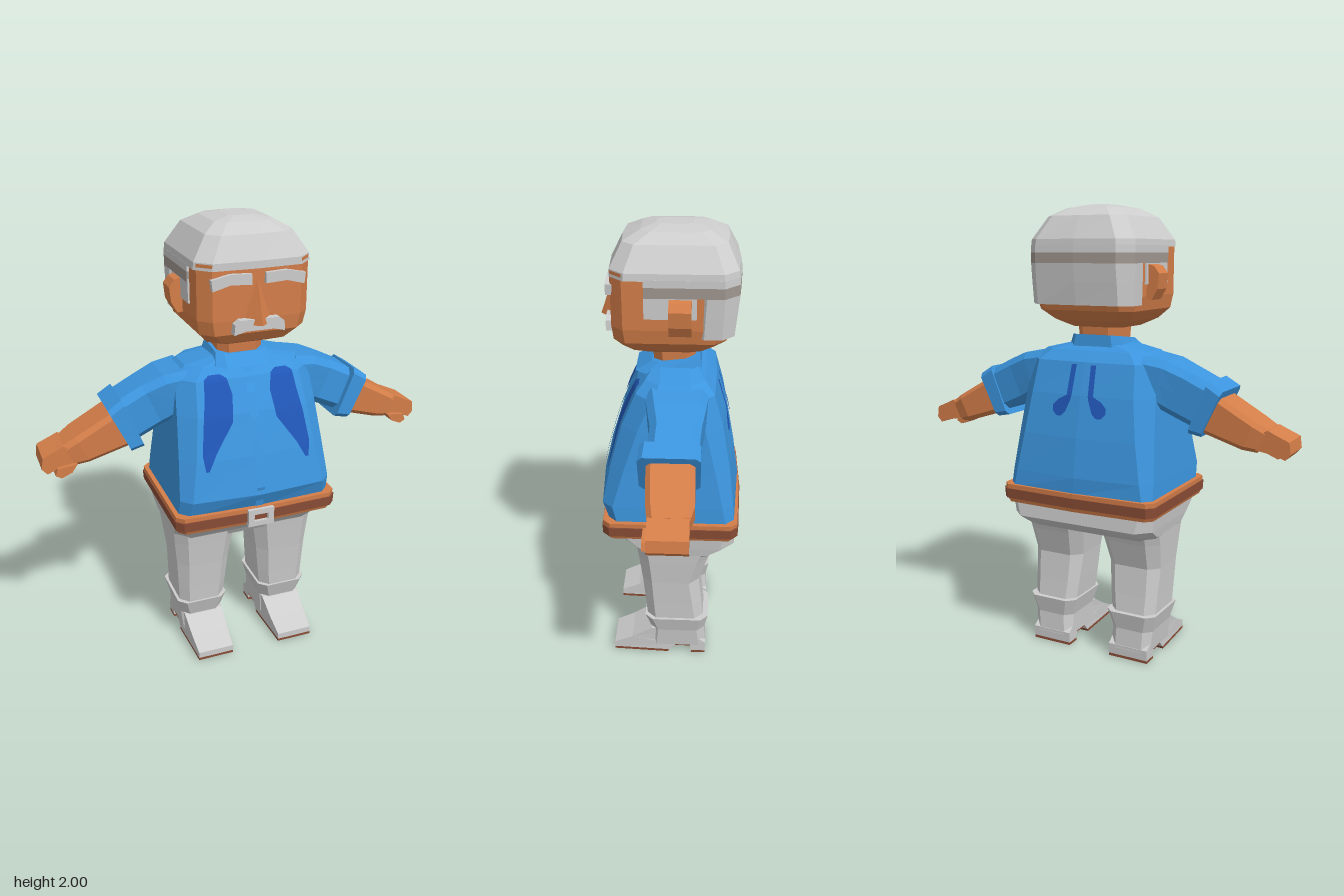
import * as THREE from 'three';

const mat = (name, color) => {
  const m = new THREE.MeshStandardMaterial({ color });
  m.name = name;
  return m;
};

// Ten-sided section: a box with chamfered corners and a slight bulge at the middle of front and back
function section(w, zf, zb, c = 0.04, bulge = 0) {
  const half = [[w - c, zf], [w, zf - c], [w, zb + c], [w - c, zb]];
  return [[0, zf + bulge], ...half, [0, zb - bulge], ...half.map(([x, z]) => [-x, z]).reverse()];
}

// Horizontal ring at height y; slope tilts it along z
const level = (y, w, zf, zb, c, bulge, cx = 0, slope = 0) =>
  section(w, zf, zb, c, bulge).map(([x, z]) => [cx + x, y - slope * z, z]);

// Ring across an arm centred on (cx, cy), turned by the arm's angle
const across = (s, cx, cy, h, zf, zb, t, c = 0.03) =>
  section(h, zf, zb, c).map(([p, z]) => [s * (cx + p * Math.sin(t)), cy + p * Math.cos(t), z]);

// Faceted skin through the rings with closed ends, always facing outward
function loft(rings) {
  const tris = [];
  const n = rings[0].length;
  for (let r = 0; r < rings.length - 1; r++) {
    for (let i = 0; i < n; i++) {
      const j = (i + 1) % n, a = rings[r], b = rings[r + 1];
      tris.push([a[i], b[i], b[j]], [a[i], b[j], a[j]]);
    }
  }
  const mid = (ring) => [0, 1, 2].map((k) => ring.reduce((sum, p) => sum + p[k], 0) / n);
  const first = rings[0], last = rings[rings.length - 1];
  for (let i = 0; i < n; i++) {
    const j = (i + 1) % n;
    tris.push([mid(first), first[i], first[j]], [mid(last), last[j], last[i]]);
  }
  const c = mid([...first.slice(0, n / 2), ...last.slice(n / 2)]);
  const v = (p) => new THREE.Vector3(p[0] - c[0], p[1] - c[1], p[2] - c[2]);
  const volume = tris.reduce((sum, t) => sum + v(t[0]).dot(v(t[1]).cross(v(t[2]))), 0);
  if (volume < 0) tris.forEach((t) => t.reverse());
  return triangles(tris);
}

function triangles(tris) {
  const g = new THREE.BufferGeometry();
  g.setAttribute('position', new THREE.Float32BufferAttribute(tris.flat(2), 3));
  g.computeVertexNormals();
  return g;
}

// Outline in x and y, extruded from z0 to z1
function slab(points, z0, z1, holes = []) {
  const shape = new THREE.Shape(points.map((p) => new THREE.Vector2(...p)));
  holes.forEach((h) => shape.holes.push(new THREE.Path(h.map((p) => new THREE.Vector2(...p)))));
  return new THREE.ExtrudeGeometry(shape, { depth: z1 - z0, bevelEnabled: false }).translate(0, 0, z0);
}

const block = (x0, x1, y0, y1, z0, z1) =>
  new THREE.BoxGeometry(x1 - x0, y1 - y0, z1 - z0).translate((x0 + x1) / 2, (y0 + y1) / 2, (z0 + z1) / 2);

export function createModel() {
  const model = new THREE.Group();
  const skin = mat('skin', 0xd47e49);
  const grey = mat('light grey', 0xcdcdcd);
  const band = mat('hair band grey', 0xa09790);
  const blue = mat('shirt blue', 0x3c95de);
  const navy = mat('dark blue', 0x2157b8);
  const brown = mat('leather brown', 0x8a4d36);
  const add = (name, geometry, material) => {
    const mesh = new THREE.Mesh(geometry, material);
    mesh.name = name;
    model.add(mesh);
    return mesh;
  };

  // Shirt body
  const torso = add('shirt', loft([
    level(0.77, 0.352, 0.255, -0.285, 0.035, 0.015),
    level(0.85, 0.348, 0.285, -0.28, 0.045, 0.022),
    level(1.02, 0.333, 0.25, -0.26, 0.06, 0.018),
    level(1.2, 0.318, 0.2, -0.228, 0.07, 0.012),
    level(1.34, 0.305, 0.14, -0.19, 0.07, 0.008),
    level(1.385, 0.25, 0.1, -0.15, 0.06, 0.005),
    level(1.415, 0.12, 0.07, -0.11, 0.03),
  ]), blue);
  torso.updateMatrixWorld();

  // Thin patch draped over the shirt; rows are [y, xMin, xMax], dir is 1 for front and -1 for back
  const ray = new THREE.Raycaster();
  function drape(rows, dir, lift) {
    const cols = 6, steps = 6, grid = [];
    const at = (x, y) => {
      ray.set(new THREE.Vector3(x, y, dir * 2), new THREE.Vector3(0, 0, -dir));
      return [x, y, ray.intersectObject(torso)[0].point.z + dir * lift];
    };
    for (let r = 0; r <= (rows.length - 1) * steps; r++) {
      const k = Math.min(Math.floor(r / steps), rows.length - 2);
      const [y, a, b] = rows[k].map((v, i) => THREE.MathUtils.lerp(v, rows[k + 1][i], r / steps - k));
      grid.push(Array.from({ length: cols + 1 }, (_, i) => at(THREE.MathUtils.lerp(a, b, i / cols), y)));
    }
    const tris = [];
    for (let r = 0; r < grid.length - 1; r++) {
      for (let i = 0; i < cols; i++) {
        const [a, b, c, d] = [grid[r][i], grid[r][i + 1], grid[r + 1][i + 1], grid[r + 1][i]];
        tris.push([a, d, c], [a, c, b]);
      }
    }
    if (dir < 0) tris.forEach((t) => t.reverse());
    return triangles(tris);
  }
  add('buttonStrip', drape([[1.38, -0.018, 0.018], [0.785, -0.018, 0.018]], 1, 0.007), blue);

  // Shirt ornaments, front and back
  const petal = [[1.36, 0.125, 0.175], [1.345, 0.1, 0.2], [1.28, 0.085, 0.208], [1.17, 0.1, 0.228],
    [1.05, 0.185, 0.245], [0.98, 0.222, 0.237]];
  const hook = [[1.33, 0.035, 0.06], [1.2, 0.04, 0.065], [1.18, 0.045, 0.105], [1.155, 0.055, 0.13],
    [1.13, 0.065, 0.13], [1.11, 0.085, 0.11]];
  for (const s of [1, -1]) {
    const flip = (rows) => rows.map(([y, a, b]) => (s > 0 ? [y, a, b] : [y, -b, -a]));
    add('frontPetal', drape(flip(petal), 1, 0.006), navy);
    add('backHook', drape(flip(hook), -1, 0.006), navy);
  }

  // Collar and neck
  add('collar', loft([
    level(1.393, 0.135, 0.15, -0.13, 0.04, 0, 0, 0.05),
    level(1.437, 0.115, 0.08, -0.125, 0.03, 0, 0, 0.12),
  ]), blue);
  add('neck', loft([level(1.4, 0.1, 0.07, -0.1), level(1.52, 0.105, 0.08, -0.11)]), skin);

  // Belt with buckle
  add('belt', loft([
    level(0.7, 0.362, 0.272, -0.292, 0.03, 0.012),
    level(0.72, 0.37, 0.28, -0.298, 0.03, 0.012),
    level(0.782, 0.372, 0.282, -0.3, 0.03, 0.012),
  ]), skin);
  add('beltStripe', loft([
    level(0.718, 0.374, 0.284, -0.302, 0.03, 0.012),
    level(0.762, 0.376, 0.286, -0.304, 0.03, 0.012),
  ]), brown);
  const rect = (w, h) => [[-w, 0.74 - h], [w, 0.74 - h], [w, 0.74 + h], [-w, 0.74 + h]];
  add('buckle', slab(rect(0.06, 0.04), 0.28, 0.31, [rect(0.032, 0.016)]), grey);

  // Hips
  add('hips', loft([
    level(0.72, 0.355, 0.262, -0.285, 0.05),
    level(0.64, 0.345, 0.19, -0.292, 0.06),
    level(0.6, 0.338, 0.145, -0.23, 0.06),
    level(0.57, 0.31, 0.125, -0.18, 0.05),
  ]), grey);

  for (const s of [1, -1]) {
    // Trouser leg
    add('leg', loft([
      level(0.62, 0.147, 0.145, -0.2, 0.05, 0, s * 0.192),
      level(0.55, 0.14, 0.135, -0.175, 0.05, 0, s * 0.193),
      level(0.43, 0.125, 0.12, -0.137, 0.045, 0, s * 0.197),
      level(0.3, 0.115, 0.107, -0.15, 0.04, 0, s * 0.2),
      level(0.19, 0.106, 0.098, -0.163, 0.04, 0, s * 0.204),
    ]), grey);

    // Boot shaft, foot and sole
    add('bootShaft', loft([
      level(0.22, 0.12, 0.11, -0.182, 0.035, 0, s * 0.204),
      level(0.14, 0.1, 0.085, -0.165, 0.035, 0, s * 0.204),
      level(0.045, 0.095, 0.09, -0.172, 0.03, 0, s * 0.2),
    ]), grey);
    const sideways = (points) => {
      const g = slab(points, -0.095, 0.095).rotateY(-Math.PI / 2);
      const p = g.attributes.position;
      for (let i = 0; i < p.count; i++) {
        const toe = Math.max(0, p.getZ(i) - 0.05) / 0.21;
        p.setX(i, p.getX(i) * (1 - 0.12 * toe) + s * 0.2);
      }
      g.computeVertexNormals();
      return g;
    };
    add('bootFoot', sideways([[0.26, 0.012], [0.26, 0.04], [0.175, 0.08], [0.08, 0.14], [-0.06, 0.14],
      [-0.172, 0.06], [-0.17, 0.012], [-0.105, 0.012], [-0.1, 0.045], [-0.03, 0.045], [0, 0.012]]), grey);
    add('sole', sideways([[0.26, 0], [0.26, 0.012], [0, 0.012], [0.005, 0]]), brown);
    add('heel', sideways([[-0.105, 0], [-0.105, 0.012], [-0.17, 0.012], [-0.17, 0]]), brown);
    add('arch', sideways([[-0.03, 0.04], [-0.03, 0.045], [-0.1, 0.045], [-0.1, 0.04]]), brown);

    // Sleeve and turned-up cuff
    add('sleeve', loft([
      across(s, 0.24, 1.275, 0.1, 0.1, -0.165, 0.1),
      across(s, 0.32, 1.262, 0.1, 0.085, -0.155, 0.3),
      across(s, 0.4, 1.225, 0.103, 0.068, -0.14, 0.42),
      across(s, 0.53, 1.165, 0.1, 0.075, -0.13, 0.44),
    ]), blue);
    add('cuff', loft([
      across(s, 0.495, 1.172, 0.12, 0.1, -0.14, 0.38, 0.02),
      across(s, 0.555, 1.147, 0.108, 0.107, -0.14, 0.44, 0.02),
    ]), blue);

    // Forearm and hand
    add('forearm', loft([
      across(s, 0.54, 1.143, 0.086, 0.075, -0.12, 0.44, 0.02),
      across(s, 0.71, 1.07, 0.066, 0.065, -0.122, 0.44, 0.02),
      across(s, 0.765, 1.05, 0.055, 0.057, -0.105, 0.44, 0.02),
    ]), skin);
    add('hand', slab([[0.755, 1.085], [0.79, 1.1], [0.815, 1.088], [0.88, 1.06], [0.887, 1.01], [0.865, 0.985],
      [0.825, 1.0], [0.74, 1.015]].map(([x, y]) => [s * x, y]), -0.105, 0.055), skin);
    add('thumb', slab([[0.74, 1.02], [0.765, 0.985], [0.81, 0.966], [0.835, 0.98], [0.825, 1.01]]
      .map(([x, y]) => [s * x, y]), -0.02, 0.075), skin);

    // Ear, sideburn and eyebrow
    add('ear', slab([[0.22, 1.76], [0.272, 1.745], [0.295, 1.715], [0.288, 1.65], [0.262, 1.605], [0.22, 1.61]]
      .map(([x, y]) => [s * x, y]), -0.09, 0), skin);
    add('sideburn', block(s > 0 ? 0.22 : -0.247, s > 0 ? 0.247 : -0.22, 1.67, 1.77, -0.11, 0.1), grey);
    add('eyebrow', slab([[0.03, 1.765], [0.12, 1.77], [0.195, 1.75], [0.2, 1.795], [0.12, 1.812], [0.03, 1.808]]
      .map(([x, y]) => [s * x, y]), 0.22, 0.255), grey);
  }

  // Head
  add('head', loft([
    level(1.485, 0.13, 0.12, -0.12, 0.04),
    level(1.515, 0.185, 0.195, -0.18, 0.05),
    level(1.56, 0.228, 0.228, -0.23, 0.05),
    level(1.62, 0.239, 0.235, -0.25, 0.05),
    level(1.85, 0.24, 0.237, -0.25, 0.05),
  ]), skin);

  // Nose and moustache
  const [top, left, right, tip] = [[0, 1.78, 0.238], [0.068, 1.6, 0.23], [-0.068, 1.6, 0.23], [0, 1.605, 0.298]];
  add('nose', triangles([[top, tip, left], [top, right, tip], [right, left, tip]]), skin);
  add('moustache', slab([[-0.11, 1.568], [-0.06, 1.58], [0.06, 1.58], [0.11, 1.568], [0.106, 1.61], [0.085, 1.627],
    [-0.085, 1.627], [-0.106, 1.61]], 0.22, 0.268), grey);

  // Hair: crown, strip above the ears, darker band and back
  add('hairCrown', loft([
    level(1.825, 0.25, 0.238, -0.278, 0.06, 0.008),
    level(1.855, 0.247, 0.238, -0.275, 0.06, 0.008),
    level(1.95, 0.185, 0.19, -0.228, 0.05, 0.008),
    level(1.985, 0.125, 0.12, -0.16, 0.04),
    level(2.0, 0.05, 0.06, -0.09, 0.02),
  ]), grey);
  add('hairSides', loft([
    level(1.8, 0.25, 0.1, -0.28, 0.06, 0.01).map(([x, y, z]) => [z > 0 ? Math.sign(x) * 0.25 : x, y, z > 0 ? 0.1 : z]),
    level(1.83, 0.25, 0.1, -0.278, 0.06, 0.01).map(([x, y, z]) => [z > 0 ? Math.sign(x) * 0.25 : x, y, z > 0 ? 0.1 : z]),
  ]), grey);
  add('hairBand', loft([1.757, 1.8].map((y) => level(y, 0.25, 0.1, -0.28, 0.06, 0.01)
    .map(([x, h, z]) => [z > 0 ? Math.sign(x) * 0.25 : x, h, z > 0 ? 0.1 : z]))), band);
  add('hairBack', loft([
    level(1.585, 0.242, -0.09, -0.262, 0.05, 0.008),
    level(1.68, 0.247, -0.09, -0.272, 0.055, 0.01),
    level(1.757, 0.25, -0.09, -0.28, 0.06, 0.01),
  ]), grey);

  return model;
}
